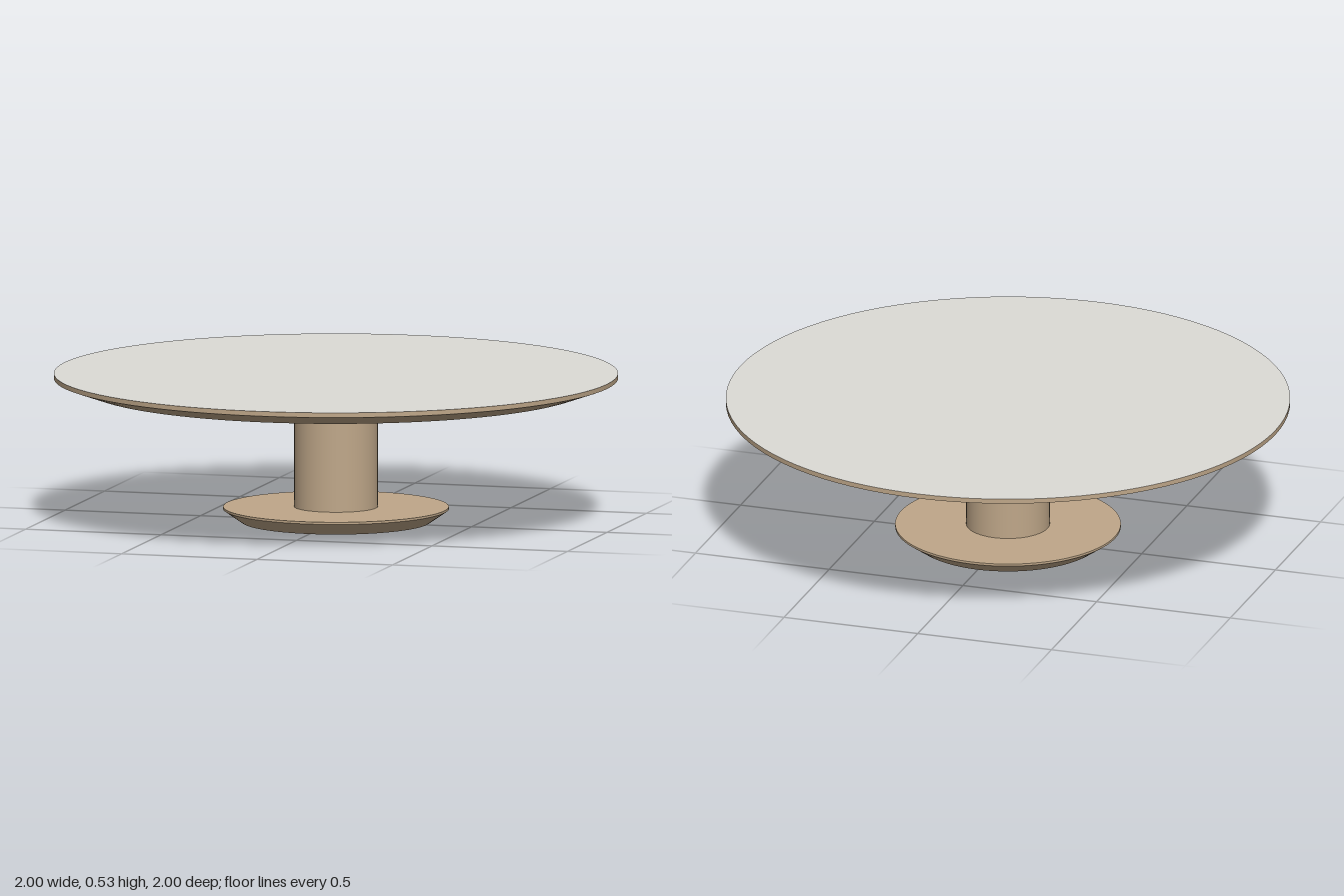
import * as THREE from 'three';

const SEGMENTS = 96;

export function createModel() {
  const wood = new THREE.MeshStandardMaterial({ name: 'warm wood', color: 0xbfa789 });
  const stone = new THREE.MeshStandardMaterial({ name: 'pale stone', color: 0xdddbd6 });

  const table = new THREE.Group();
  table.name = 'pedestalTable';

  // Round section between two heights; open sections have no caps
  function section(parent, name, bottomRadius, topRadius, y0, y1, open = false, material = wood) {
    const geometry = new THREE.CylinderGeometry(topRadius, bottomRadius, y1 - y0, SEGMENTS, 1, open);
    const mesh = new THREE.Mesh(geometry, material);
    mesh.name = name;
    mesh.position.y = (y0 + y1) / 2;
    parent.add(mesh);
  }

  // Flat horizontal disc facing up or down
  function disc(parent, name, radius, y, up) {
    const mesh = new THREE.Mesh(new THREE.CircleGeometry(radius, SEGMENTS), wood);
    mesh.name = name;
    mesh.rotation.x = up ? -Math.PI / 2 : Math.PI / 2;
    mesh.position.y = y;
    parent.add(mesh);
  }

  // Disc with a thin upright rim and an undercut bevel
  function bevelledDisc(name, innerRadius, radius, y0, yRim, y1) {
    const group = new THREE.Group();
    group.name = name;
    disc(group, name + 'Underside', innerRadius, y0, false);
    section(group, name + 'Bevel', innerRadius, radius, y0, yRim, true);
    section(group, name + 'Rim', radius, radius, yRim, y1, true);
    table.add(group);
    return group;
  }

  // Foot
  const foot = bevelledDisc('foot', 0.335, 0.4, 0, 0.045, 0.053);
  disc(foot, 'footUpperFace', 0.4, 0.053, true);

  // Column and the support plate under the top
  section(table, 'column', 0.148, 0.148, 0.053, 0.44, true);
  section(table, 'supportPlate', 0.4, 0.4, 0.44, 0.475);

  // Table top with a pale surface
  const top = bevelledDisc('tableTop', 0.89, 1, 0.475, 0.513, 0.525);
  section(top, 'topSurface', 1, 1, 0.525, 0.53, false, [wood, stone, wood]);

  return table;
}
